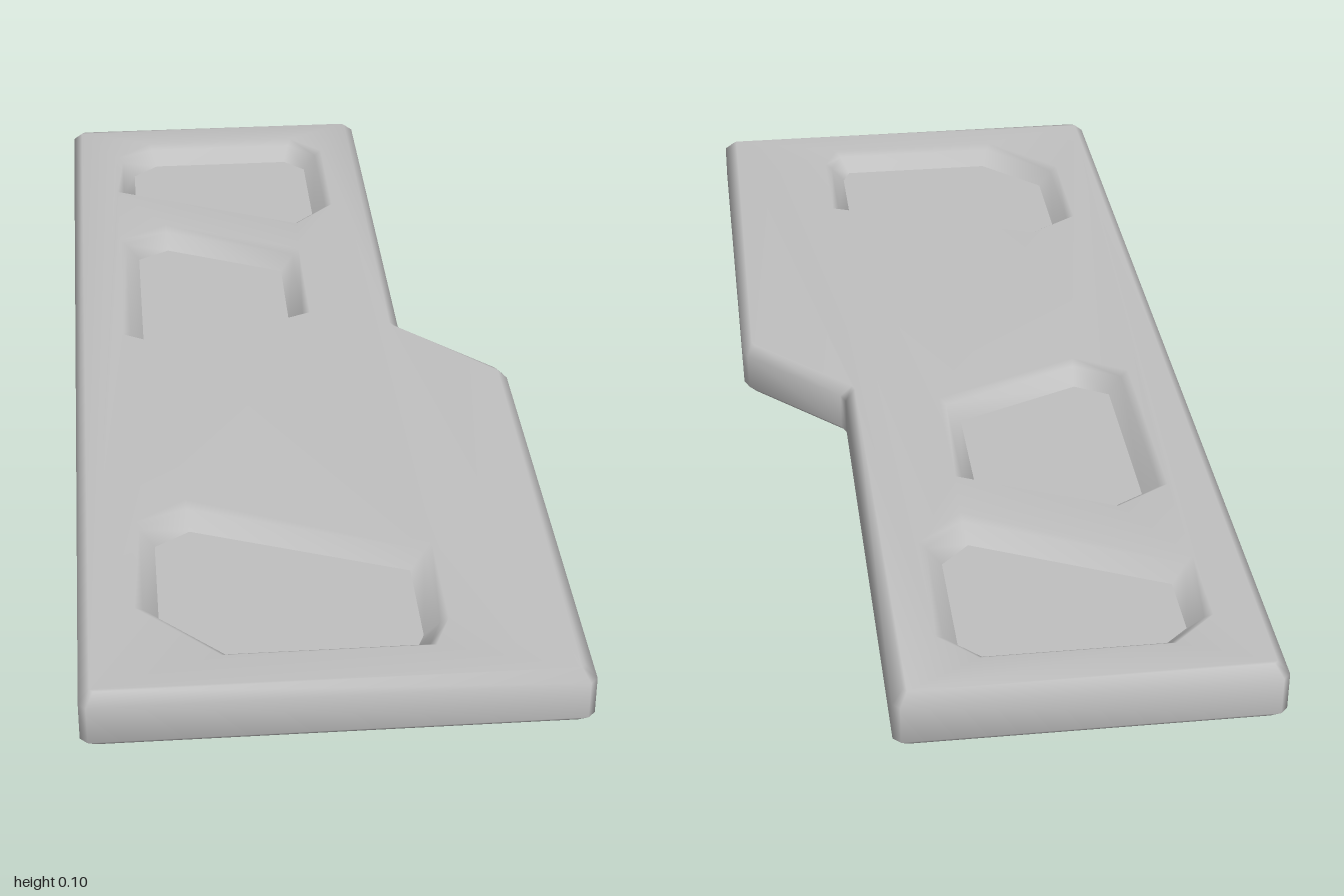
import * as THREE from 'three';
import { mergeGeometries, mergeVertices } from 'three/addons/utils/BufferGeometryUtils.js';

const HEIGHT = 0.103, BEVEL = 0.018, DEPTH = 0.037, SLOPE = 0.038;

// Plan outlines as [x, z], all running the same way round
const PLATE = [[-0.4, -1], [0.22, -1], [0.22, -0.095], [0.4, 0.085], [0.4, 1], [-0.4, 1]];
const POCKETS = {
  backPocket: [[-0.27, -0.83], [-0.22, -0.875], [0.06, -0.875], [0.1, -0.835], [0.1, -0.61], [0.05, -0.56], [-0.27, -0.71]],
  middlePocket: [[-0.27, -0.45], [-0.21, -0.485], [0.015, -0.38], [0.015, -0.17], [-0.21, -0.075], [-0.27, -0.11]],
  frontPocket: [[-0.27, 0.56], [-0.21, 0.52], [0.15, 0.66], [0.15, 0.835], [0.135, 0.87], [-0.16, 0.87], [-0.27, 0.76]],
};

// Moves every edge of an outline inward by d (outward when negative)
function inset(poly, d) {
  const n = poly.length;
  const normal = (a, b) => {
    const l = Math.hypot(b[0] - a[0], b[1] - a[1]);
    return [-(b[1] - a[1]) / l, (b[0] - a[0]) / l];
  };
  return poly.map((p, i) => {
    const u = normal(poly[(i + n - 1) % n], p), v = normal(p, poly[(i + 1) % n]);
    const k = d / (1 + u[0] * v[0] + u[1] * v[1]);
    return [p[0] + (u[0] + v[0]) * k, p[1] + (u[1] + v[1]) * k];
  });
}

// Cuts each corner of an outline by distance c
function cutCorners(poly, c) {
  const n = poly.length;
  const toward = (a, b) => {
    const t = c / Math.hypot(b[0] - a[0], b[1] - a[1]);
    return [a[0] + (b[0] - a[0]) * t, a[1] + (b[1] - a[1]) * t];
  };
  return poly.flatMap((p, i) => [toward(p, poly[(i + n - 1) % n]), toward(p, poly[(i + 1) % n])]);
}

// Skin through a list of { poly, y } rings
function loft(rings) {
  const n = rings[0].poly.length, pos = [], index = [];
  rings.forEach(({ poly, y }) => poly.forEach(([x, z]) => pos.push(x, y, z)));
  for (let r = 0; r < rings.length - 1; r++) {
    for (let j = 0; j < n; j++) {
      const a = r * n + j, b = r * n + (j + 1) % n;
      index.push(a, b + n, b, a, a + n, b + n);
    }
  }
  const g = new THREE.BufferGeometry();
  g.setAttribute('position', new THREE.Float32BufferAttribute(pos, 3));
  g.setIndex(index);
  return g;
}

// Flat horizontal face, looking up or down
function cap(poly, y, up = true, holes = []) {
  const s = up ? -1 : 1;
  const pts = (p) => p.map(([x, z]) => new THREE.Vector2(x, s * z));
  const shape = new THREE.Shape(pts(poly));
  holes.forEach((h) => shape.holes.push(new THREE.Path(pts(h))));
  const g = new THREE.ShapeGeometry(shape).rotateX(s * Math.PI / 2).translate(0, y, 0);
  g.deleteAttribute('uv');
  g.deleteAttribute('normal');
  return g;
}

export function createModel() {
  const group = new THREE.Group();
  group.name = 'recessedPlate';
  const grey = new THREE.MeshStandardMaterial({ color: 0xc0c0c0 });
  grey.name = 'plain grey';

  const add = (name, geometry) => {
    geometry.computeVertexNormals();
    const mesh = new THREE.Mesh(geometry, grey);
    mesh.name = name;
    group.add(mesh);
  };

  const outer = cutCorners(PLATE, 0.012);
  const inner = cutCorners(inset(PLATE, BEVEL), 0.006);
  const floors = Object.entries(POCKETS);
  const rims = floors.map(([, p]) => inset(p, -SLOPE));

  // Bevelled sides, top, underside and sloping pocket walls as one softly shaded skin
  const skin = [
    loft([
      { poly: inner, y: 0 },
      { poly: outer, y: BEVEL },
      { poly: outer, y: HEIGHT - BEVEL },
      { poly: inner, y: HEIGHT },
    ]),
    cap(inner, 0, false),
    cap(inner, HEIGHT, true, rims),
    ...floors.map(([, p], i) => loft([
      { poly: rims[i], y: HEIGHT },
      { poly: inset(p, -SLOPE * 0.65), y: HEIGHT - DEPTH * 0.25 },
      { poly: p, y: HEIGHT - DEPTH },
    ])),
  ];
  add('plateBody', mergeVertices(mergeGeometries(skin), 1e-5));

  // Pocket floors, kept separate for a sharp crease
  floors.forEach(([name, p]) => add(`${name}Floor`, cap(p, HEIGHT - DEPTH)));

  return group;
}
